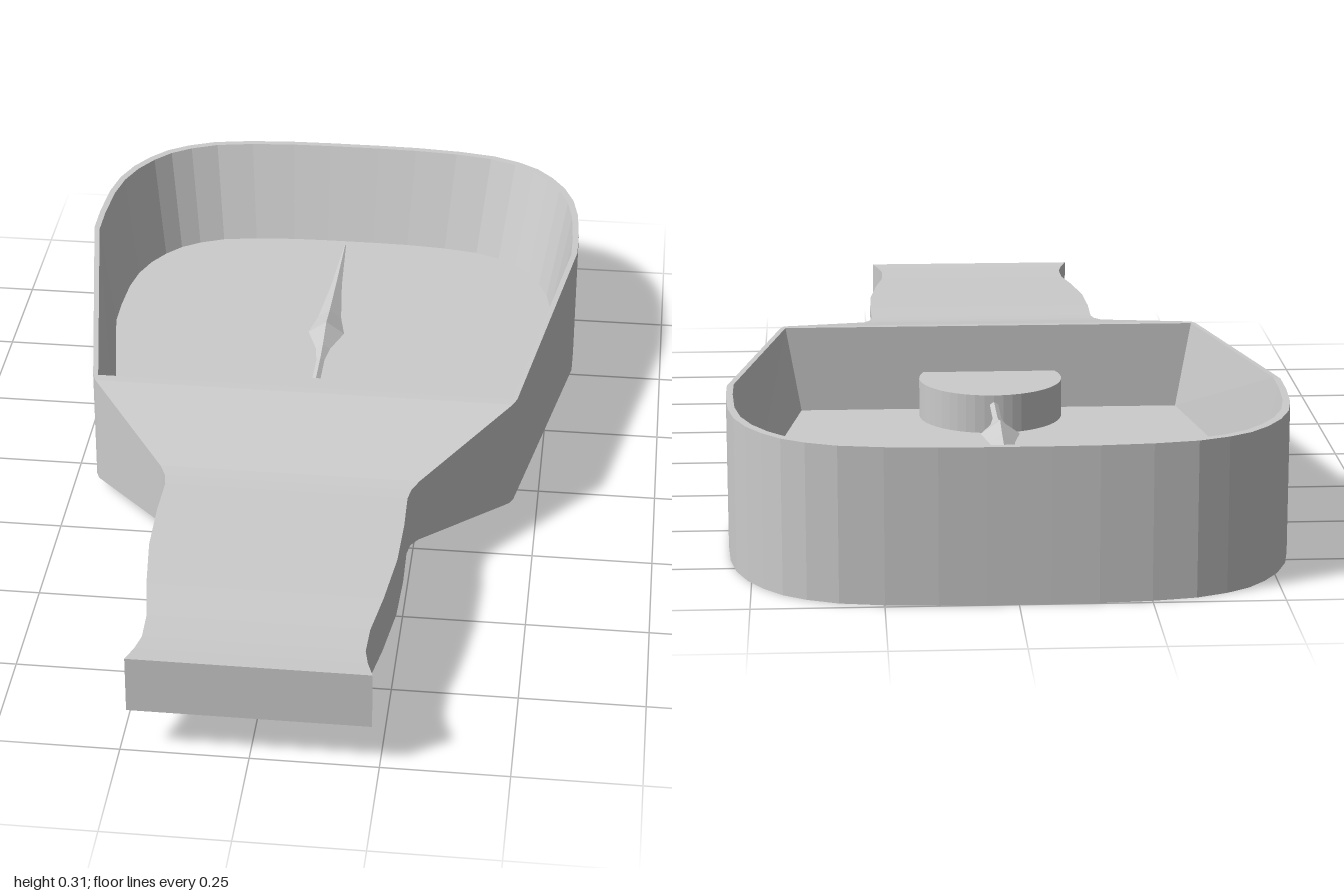
import * as THREE from 'three';

const material = new THREE.MeshStandardMaterial({ color: 0xcccccc, flatShading: true });

// Outline stations from handle end to head end: [z, half width, bottom, top]
const CUT = 0.08; // front wall of the open tray
const stations = [
  [1, 0.235, 0.095, 0.215], [0.96, 0.222, 0.096, 0.213], [0.92, 0.214, 0.098, 0.212], [0.85, 0.216, 0.098, 0.212],
  [0.75, 0.232, 0.094, 0.216], [0.62, 0.247, 0.089, 0.22], [0.5, 0.25, 0.087, 0.222], [0.4, 0.248, 0.087, 0.222],
  [0.37, 0.253, 0.088, 0.223], [0.34, 0.267, 0.083, 0.226], [0.1, 0.442, 0.03, 0.276], [CUT, 0.45, 0.029, 0.277],
  [-0.52, 0.549, 0, 0.305], [-0.6, 0.549, 0, 0.305], [-0.7, 0.543, 0, 0.305], [-0.77, 0.53, 0, 0.305],
  [-0.83, 0.507, 0, 0.305], [-0.88, 0.476, 0, 0.305], [-0.92, 0.44, 0, 0.305], [-0.95, 0.395, 0, 0.305],
  [-0.975, 0.335, 0, 0.305], [-0.99, 0.25, 0, 0.305], [-0.998, 0.15, 0, 0.305], [-1, 0.06, 0, 0.305],
];

// Geometry from quads whose corners run counter-clockwise seen from outside
function quadGeometry(quads) {
  const pos = [];
  for (const [a, b, c, d] of quads) pos.push(...a, ...b, ...c, ...a, ...c, ...d);
  const geo = new THREE.BufferGeometry();
  geo.setAttribute('position', new THREE.Float32BufferAttribute(pos, 3));
  geo.computeVertexNormals();
  return geo;
}

// The four corners of one cross-section
const section = ([z, w, lo, hi]) => ({ rb: [w, lo, z], lb: [-w, lo, z], rt: [w, hi, z], lt: [-w, hi, z] });

// Outer shell: sides, underside, handle top and both ends
function shellQuads() {
  const s = stations.map(section);
  const first = s[0], last = s[s.length - 1];
  const quads = [
    [first.lb, first.rb, first.rt, first.lt],
    [last.rb, last.lb, last.lt, last.rt],
  ];
  for (let i = 0; i < s.length - 1; i++) {
    const a = s[i], b = s[i + 1];
    quads.push([a.rb, b.rb, b.rt, a.rt], [b.lb, a.lb, a.lt, b.lt], [a.rb, a.lb, b.lb, b.rb]);
    if (stations[i][0] > CUT) quads.push([a.lt, a.rt, b.rt, b.lt]);
  }
  return quads;
}

// U-shaped loop of the tray, scaled about the middle of its front wall
function trayLoop(sx, sz, floorY) {
  const right = stations.filter(([z]) => z <= CUT)
    .map(([z, w, , hi]) => [w * sx, floorY ?? hi, CUT + (z - CUT) * sz]);
  return [...right, ...right.map(([x, y, z]) => [-x, y, z]).reverse()];
}

// Thin rim, sloping inner walls and floor
const FLOOR = 0.093;
function trayQuads() {
  const outer = trayLoop(1, 1), rim = trayLoop(0.976, 0.986), floor = trayLoop(0.905, 0.912, FLOOR);
  const n = outer.length;
  const quads = [[rim[n - 1], rim[0], floor[0], floor[n - 1]]];
  for (let i = 0; i < n - 1; i++) {
    quads.push([outer[i], outer[i + 1], rim[i + 1], rim[i]]);
    quads.push([rim[i], rim[i + 1], floor[i + 1], floor[i]]);
    if (i < n / 2 - 1) quads.push([floor[i], floor[i + 1], floor[n - 2 - i], floor[n - 1 - i]]);
  }
  return quads;
}

export function createModel() {
  const group = new THREE.Group();
  const add = (name, geometry) => {
    const mesh = new THREE.Mesh(geometry, material);
    mesh.name = name;
    group.add(mesh);
    return mesh;
  };

  add('outerShell', quadGeometry(shellQuads()));
  add('tray', quadGeometry(trayQuads()));

  // Round hub running into the front wall
  const hubTop = 0.175;
  add('hub', new THREE.CylinderGeometry(0.153, 0.153, hubTop - FLOOR, 48))
    .position.set(0, (hubTop + FLOOR) / 2, 0.025);

  // Four-sided needle pointing away from the handle
  const profile = [[0, 0.1], [0.009, 0.1], [0.009, 0.24], [0.016, 0.29], [0.04, 0.36], [0.026, 0.43], [0.012, 0.58], [0.002, 0.77], [0, 0.77]]
    .map(([r, d]) => new THREE.Vector2(r, d));
  const needle = new THREE.LatheGeometry(profile, 4);
  needle.rotateX(-Math.PI / 2);
  needle.scale(1, 0.7, 1);
  add('needle', needle).position.y = 0.155;

  return group;
}
